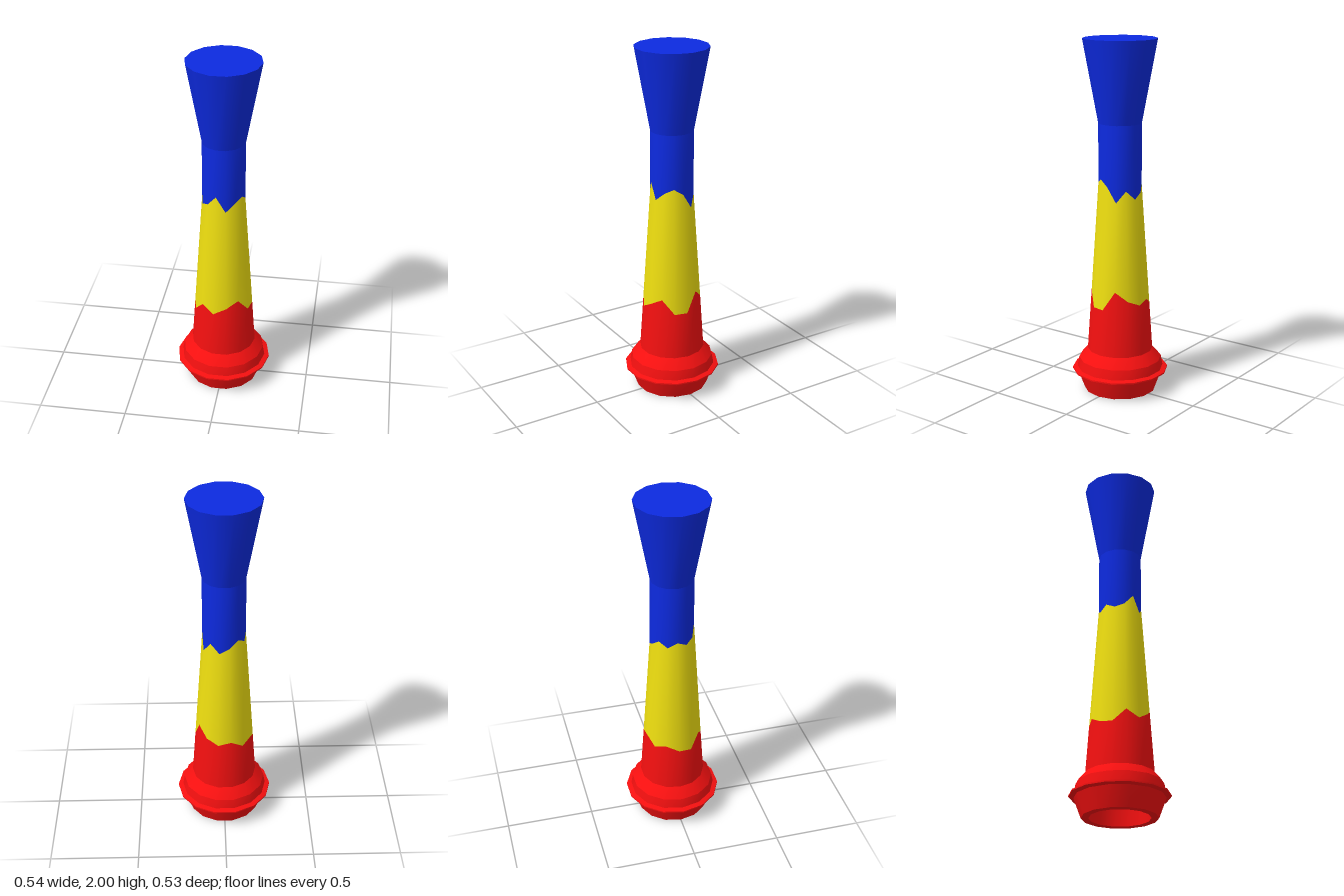
import * as THREE from 'three';

const SIDES = 14;

// Zigzag colour borders: one height per side, counted from +x towards +z
const LOW = [0.505, 0.505, 0.59, 0.55, 0.51, 0.55, 0.48, 0.49, 0.525, 0.505, 0.55, 0.53, 0.56, 0.615];
const HIGH = [1.2, 1.235, 1.21, 1.165, 1.255, 1.195, 1.175, 1.2, 1.17, 1.2, 1.16, 1.13, 1.18, 1.115];

// Radius of the tapering shaft at a given height
const shaftRadius = (y) => Math.max(0.12, THREE.MathUtils.mapLinear(y, 0.24, 1.2, 0.185, 0.12));
const ring = (r, y) => Array.from({ length: SIDES }, () => [r, y]);
const zigzag = (heights) => heights.map((y) => [shaftRadius(y), y]);

// Skin consecutive rings; smooth around, sharp between rings
function skin(name, color, rings) {
  const pos = [], index = [];
  for (let i = 0; i < rings.length - 1; i++) {
    const base = pos.length / 3;
    for (const loop of [rings[i], rings[i + 1]]) {
      loop.forEach(([r, y], k) => {
        const t = (k / SIDES) * Math.PI * 2;
        pos.push(r * Math.cos(t), y, r * Math.sin(t));
      });
    }
    for (let k = 0; k < SIDES; k++) {
      const a = base + k, b = base + ((k + 1) % SIDES);
      index.push(a, a + SIDES, b, b, a + SIDES, b + SIDES);
    }
  }
  const geo = new THREE.BufferGeometry();
  geo.setAttribute('position', new THREE.Float32BufferAttribute(pos, 3));
  geo.setIndex(index);
  geo.computeVertexNormals();
  const mesh = new THREE.Mesh(geo, new THREE.MeshStandardMaterial({ color }));
  mesh.name = name;
  return mesh;
}

export function createModel() {
  const group = new THREE.Group();
  group.name = 'horn';

  // Red foot: hollow underneath, thin flange, rounded shoulder, lower shaft
  group.add(skin('redBase', 0xf51010, [
    ring(0, 0.5), ring(0.14, 0.5), ring(0.165, 0.24), ring(0.165, 0),
    ring(0.205, 0), ring(0.245, 0.108),
    ring(0.272, 0.115), ring(0.272, 0.123), ring(0.245, 0.13),
    ring(0.235, 0.185), ring(0.185, 0.24), zigzag(LOW),
  ]));

  // Yellow middle shaft
  group.add(skin('yellowShaft', 0xf0e010, [zigzag(LOW), zigzag(HIGH)]));

  // Blue neck and flared top with a flat end
  group.add(skin('blueFlare', 0x0d2ae0, [
    zigzag(HIGH), ring(0.12, 1.54), ring(0.205, 2), ring(0, 2),
  ]));

  return group;
}
